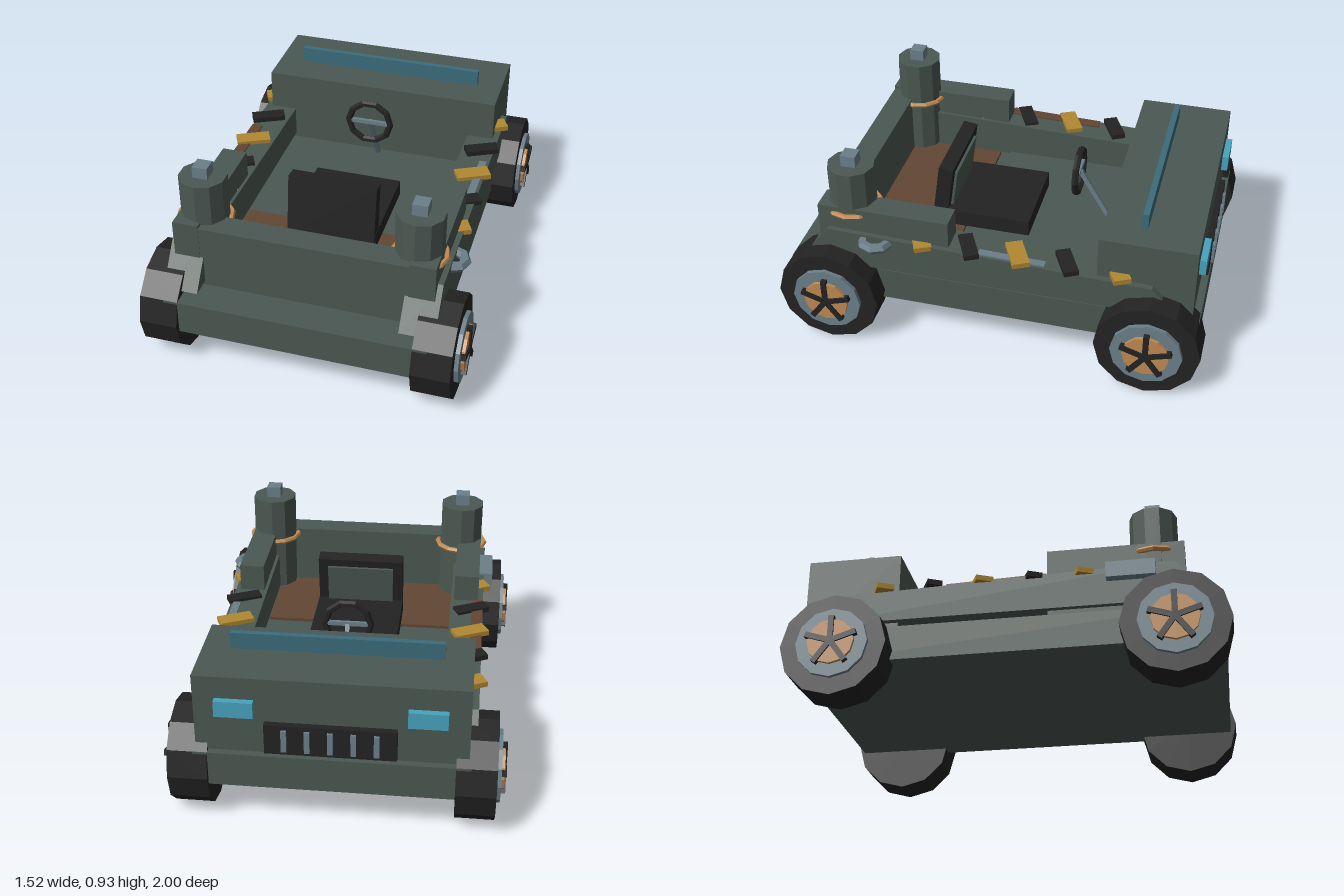
import * as THREE from 'three';

const mat = (name, color) => new THREE.MeshStandardMaterial({ name, color });

export function createModel() {
  const M = {
    green: mat('body green', 0x4b5852),
    black: mat('rubber black', 0x232323),
    steel: mat('steel blue grey', 0x6b7f89),
    copper: mat('copper', 0xc08a52),
    gold: mat('gold', 0xb08832),
    brown: mat('rust brown', 0x634633),
    lamp: mat('lamp blue', 0x46a3bf),
    glass: mat('dark glass', 0x3b6b7b),
  };
  const car = new THREE.Group();
  car.name = 'buggy';

  const add = (name, geo, material, x, y, z, parent = car) => {
    for (const m of Object.values(M)) m.flatShading = true;
    const mesh = new THREE.Mesh(geo, material);
    mesh.name = name;
    mesh.position.set(x, y, z);
    parent.add(mesh);
    return mesh;
  };
  // Box given by its min and max on each axis
  const box = (name, material, x0, x1, y0, y1, z0, z1, parent) =>
    add(name, new THREE.BoxGeometry(x1 - x0, y1 - y0, z1 - z0), material,
      (x0 + x1) / 2, (y0 + y1) / 2, (z0 + z1) / 2, parent);

  // Chassis, tail wall, hood and cargo floor
  box('chassis', M.green, -0.605, 0.605, 0.2, 0.365, -0.97, 0.97);
  box('tailWall', M.green, -0.595, 0.595, 0.365, 0.675, 0.69, 0.81);
  box('hood', M.green, -0.595, 0.595, 0.365, 0.735, -0.937, -0.497);
  box('cargoFloor', M.brown, -0.465, 0.465, 0.365, 0.38, 0.23, 0.69);
  box('windshield', M.glass, -0.47, 0.47, 0.73, 0.812, -0.695, -0.667);

  // Grille with slats
  box('grille', M.black, -0.287, 0.287, 0.38, 0.525, -0.967, -0.93);
  for (let i = -2; i <= 2; i++)
    box('grilleSlat', M.steel, i * 0.1 - 0.012, i * 0.1 + 0.012, 0.4, 0.505, -0.98, -0.96);

  // Side panel outline in (z, y), extruded across x
  const outline = new THREE.Shape([
    [0.91, 0.387], [0.765, 0.577], [-0.75, 0.527], [-0.88, 0.387],
  ].map(([z, y]) => new THREE.Vector2(-z, y)));
  const panelGeo = new THREE.ExtrudeGeometry(outline, { depth: 0.16, bevelEnabled: false });
  panelGeo.translate(0, 0, -0.08);
  panelGeo.rotateY(Math.PI / 2);

  for (const s of [-1, 1]) {
    add('sidePanel', panelGeo, M.green, s * 0.545, 0, 0);
    const mid = s * 0.54;
    box('armrest', M.green, mid - 0.06, mid + 0.06, 0.365, 0.69, 0.19, 0.812);
    box('headlight', M.lamp, s * 0.415 - 0.085, s * 0.415 + 0.085, 0.553, 0.63, -0.967, -0.93);

    // Exhaust tower with cap and ring
    add('tower', new THREE.CylinderGeometry(0.11, 0.11, 0.49, 10), M.green, s * 0.496, 0.63, 0.673);
    box('towerCap', M.steel, s * 0.496 - 0.035, s * 0.496 + 0.035, 0.87, 0.93, 0.638, 0.708);
    const ring = add('towerRing', new THREE.TorusGeometry(0.122, 0.013, 6, 12), M.copper, s * 0.496, 0.654, 0.673);
    ring.rotation.x = Math.PI / 2;

    // Slanted straps along the sill, alternating in colour
    for (let i = 0; i < 5; i++) {
      const strap = add('sillStrap', new THREE.BoxGeometry(0.165, 0.025, i % 2 ? 0.068 : 0.08),
        i % 2 ? M.black : M.gold, s * 0.567, 0.556, -0.585 + i * 0.23);
      strap.rotation.y = 0.46;
    }

    // Wheels
    for (const z of [-0.757, 0.757]) {
      const wheel = new THREE.Group();
      wheel.name = 'wheel';
      wheel.position.set(s * 0.63, 0.243, z);
      wheel.scale.setScalar(1);
      car.add(wheel);
      const disc = (name, r, sides, x0, x1, m) => {
        const d = add(name, new THREE.CylinderGeometry(r, r, x1 - x0, sides), m, s * (x0 + x1) / 2, 0, 0, wheel);
        d.rotation.z = Math.PI / 2;
      };
      disc('tyre', 0.243, 12, -0.09, 0.088, M.black);
      disc('rim', 0.165, 12, 0.05, 0.107, M.steel);
      disc('hub', 0.107, 12, 0.08, 0.122, M.copper);
      for (let i = 0; i < 5; i++) {
        const a = i * Math.PI * 2 / 5;
        const spoke = add('spoke', new THREE.BoxGeometry(0.024, 0.122, 0.026), M.black,
          s * 0.118, Math.cos(a) * 0.061, Math.sin(a) * 0.061, wheel);
        spoke.rotation.x = a;
      }
    }
  }

  // Side fittings that differ left to right
  box('sideBox', M.steel, -0.668, -0.6, 0.5, 0.575, 0.46, 0.68);
  const towRing = add('towRing', new THREE.TorusGeometry(0.06, 0.025, 6, 8), M.steel, 0.615, 0.54, 0.535);
  towRing.rotation.x = Math.PI / 2;
  const rust = box('rustPatch', M.brown, -0.624, -0.57, 0.549, 0.557, -0.27, 0.19);
  const plate = box('steelPatch', M.steel, 0.575, 0.612, 0.547, 0.555, -0.26, 0.05);
  rust.rotation.x = plate.rotation.x = -0.033;

  // Seat: cushion and a backrest with an inset panel
  box('seatCushion', M.black, -0.215, 0.215, 0.39, 0.47, -0.09, 0.36);
  const back = new THREE.Group();
  back.name = 'seatBack';
  back.position.set(0, 0.55, 0.338);
  back.rotation.x = -0.14;
  car.add(back);
  box('backrest', M.black, -0.213, 0.213, -0.15, 0.158, -0.035, 0.035, back);
  box('backrestPanel', M.green, -0.165, 0.165, -0.08, 0.12, -0.048, -0.03, back);

  // Steering wheel, crossbar and column
  add('steeringWheel', new THREE.TorusGeometry(0.107, 0.017, 6, 10), M.black, 0, 0.66, -0.287);
  box('steeringCrossbar', M.steel, -0.1, 0.1, 0.65, 0.67, -0.296, -0.28);
  const column = add('steeringColumn', new THREE.BoxGeometry(0.02, 0.35, 0.022), M.steel, 0, 0.51, -0.385);
  column.rotation.x = 0.54;

  return car;
}
